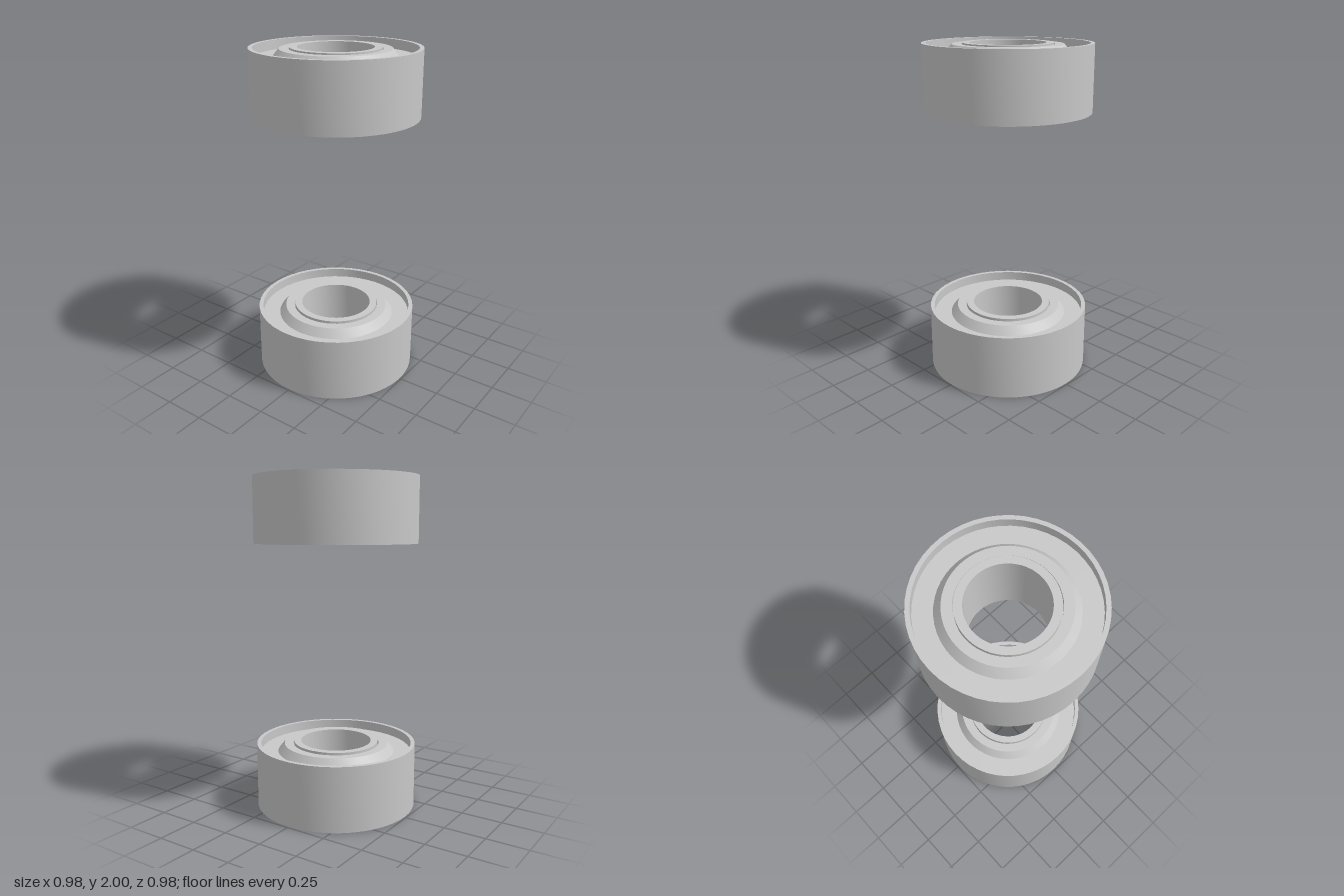
import * as THREE from 'three';
import { toCreasedNormals } from 'three/addons/utils/BufferGeometryUtils.js';

const steel = new THREE.MeshStandardMaterial({ color: 0xc8c8c8 });
steel.name = 'steel grey';

const HEIGHT = 0.39; // width of the outer ring

// Closed profile revolved around the y axis, counter-clockwise from outer bottom
function ring(name, profile) {
  const points = [...profile, profile[0]].map(([r, y]) => new THREE.Vector2(r, y));
  const geometry = toCreasedNormals(new THREE.LatheGeometry(points, 48), 0.5);
  const mesh = new THREE.Mesh(geometry, steel);
  mesh.name = name;
  return mesh;
}

// Adds the mirrored lower half to the upper half of a profile
function mirrored(upper) {
  const lower = upper.map(([r, y]) => [r, HEIGHT - y]).reverse();
  return [...upper, ...lower];
}

function bearing(name) {
  const group = new THREE.Group();
  group.name = name;

  // Outer ring with a thin raised rim
  group.add(ring('outerRing', mirrored([
    [0.49, HEIGHT], [0.465, HEIGHT], [0.465, HEIGHT - 0.057], [0.4, HEIGHT - 0.057],
  ])));

  // Recessed shields with a conical collar on both faces
  group.add(ring('shield', mirrored([
    [0.465, HEIGHT - 0.057], [0.36, HEIGHT - 0.057], [0.32, HEIGHT - 0.008],
    [0.266, HEIGHT - 0.008], [0.266, HEIGHT - 0.04], [0.255, HEIGHT - 0.04],
  ])));

  // Inner ring around the bore, standing slightly proud of one face
  group.add(ring('innerRing', [
    [0.261, 0], [0.261, HEIGHT + 0.005], [0.217, HEIGHT + 0.005], [0.217, 0],
  ]));
  return group;
}

export function createModel() {
  const model = new THREE.Group();
  model.name = 'bearingPair';
  const lower = bearing('lowerBearing');
  const upper = bearing('upperBearing');
  // Proud faces point towards each other
  upper.rotation.x = Math.PI;
  upper.position.y = 2;
  model.add(lower, upper);
  return model;
}
